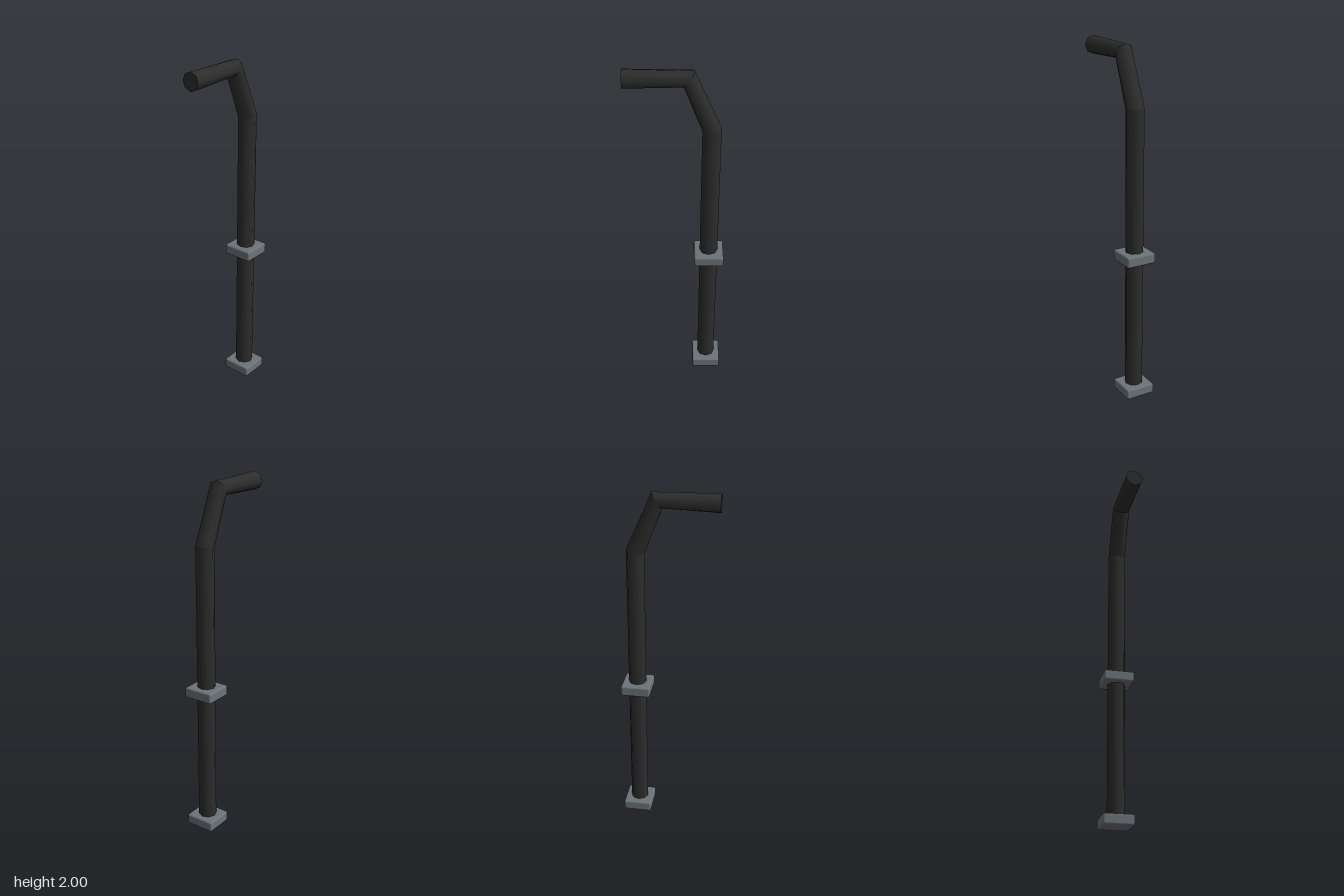
import * as THREE from 'three';
import { RoundedBoxGeometry } from 'three/addons/geometries/RoundedBoxGeometry.js';

const SIDES = 8;
const RADIUS = 0.051;

// Octagonal pipe piece between two joints; each joint is { y, z, tilt } with tilt leaning forward
function pipeSegment(a, b) {
  const lean = Math.atan2(b.z - a.z, b.y - a.y);
  const geo = new THREE.CylinderGeometry(RADIUS, RADIUS, 1, SIDES, 1, true);
  const source = geo.attributes.position.clone();
  geo.rotateX(lean); // turns the smooth normals along the segment
  const pos = geo.attributes.position;
  for (let i = 0; i < pos.count; i++) {
    const joint = source.getY(i) > 0 ? b : a;
    const across = source.getZ(i);
    pos.setXYZ(i, source.getX(i),
      joint.y - across * Math.sin(joint.tilt),
      joint.z + across * Math.cos(joint.tilt));
  }
  return geo;
}

export function createModel() {
  const pipeMat = new THREE.MeshStandardMaterial({ color: 0x2d2d2d });
  pipeMat.name = 'dark pipe';
  const plateMat = new THREE.MeshStandardMaterial({ color: 0x6c7479 });
  plateMat.name = 'grey plate';

  const model = new THREE.Group();
  model.name = 'bentPipe';
  const body = new THREE.Group();
  body.name = 'pipeAssembly';
  body.position.set(-0.01, 0, -0.182);
  body.rotation.y = 0.14;
  model.add(body);

  const add = (name, geo, mat, y = 0, z = 0) => {
    const mesh = new THREE.Mesh(geo, mat);
    mesh.name = name;
    mesh.position.set(0, y, z);
    body.add(mesh);
    return mesh;
  };

  // Pipe: upright, sloping neck, level spout
  const neckLean = Math.atan2(0.121, 0.285);
  const joints = [
    { y: 0.01, z: 0, tilt: 0 },
    { y: 1.665, z: 0, tilt: neckLean / 2 },
    { y: 1.95, z: 0.121, tilt: (neckLean + Math.PI / 2) / 2 },
    { y: 1.949, z: 0.454, tilt: Math.PI / 2 },
  ];
  ['upright', 'neck', 'spout'].forEach((name, i) =>
    add(name, pipeSegment(joints[i], joints[i + 1]), pipeMat));

  // Closed end of the spout, turned so its corners meet the pipe's
  add('spoutEnd', new THREE.CircleGeometry(RADIUS, SIDES), pipeMat, 1.949, 0.454);

  // Square mounting plates at the foot and halfway up
  const plate = new RoundedBoxGeometry(0.174, 0.06, 0.166, 2, 0.01);
  add('footPlate', plate, plateMat, 0.03);
  add('middlePlate', plate, plateMat, 0.847);

  return model;
}
